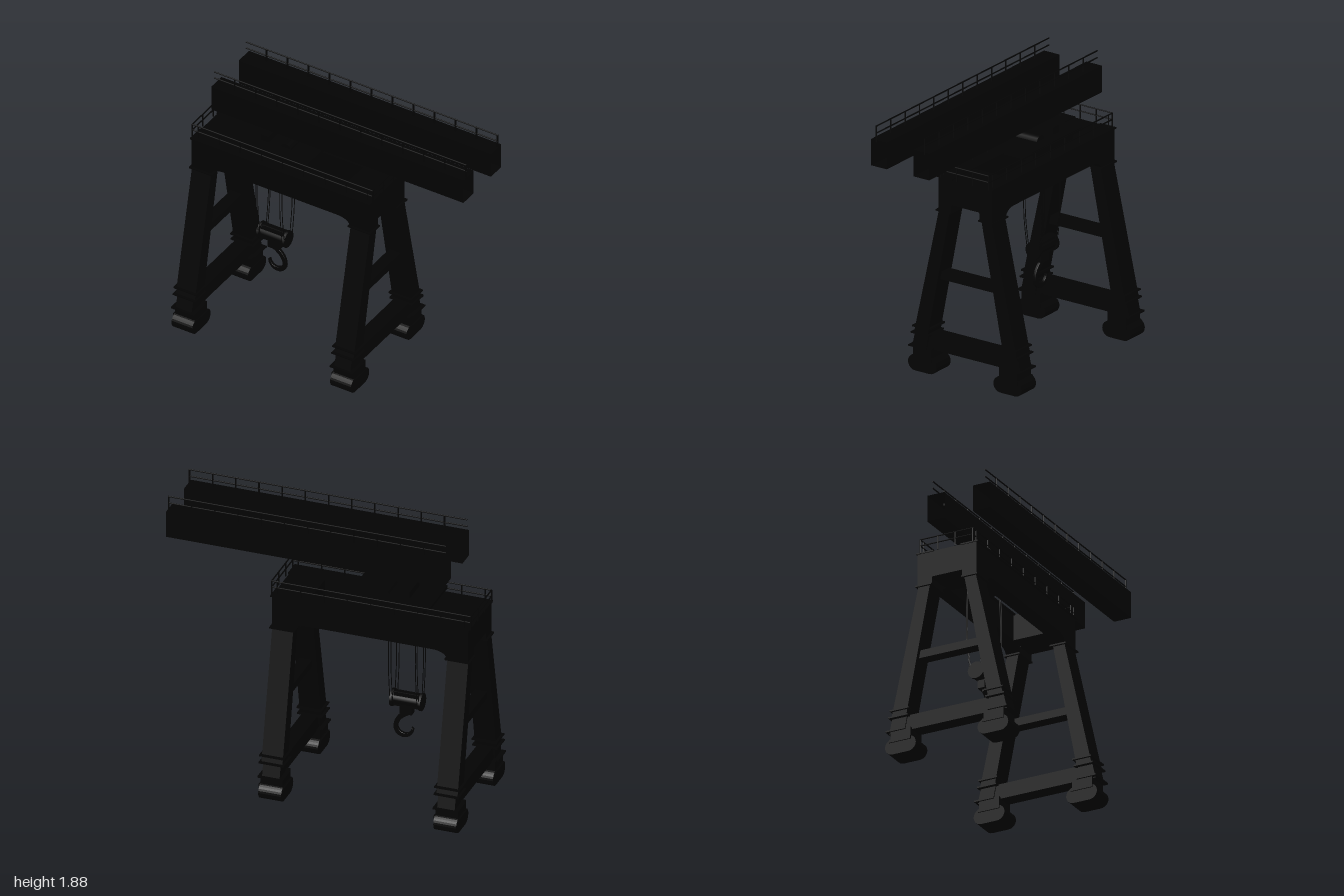
import * as THREE from 'three';

export function createModel() {
  const root = new THREE.Group();
  root.name = 'gantryCrane';
  const paint = new THREE.MeshStandardMaterial({ color: 0x030303, flatShading: true });
  const sheet = new THREE.MeshStandardMaterial({ color: 0x030303, flatShading: true, side: THREE.DoubleSide });
  const smooth = new THREE.MeshStandardMaterial({ color: 0x030303 });

  const add = (name, geo, mat = paint, parent = root) => {
    const m = new THREE.Mesh(geo, mat);
    m.name = name;
    parent.add(m);
    return m;
  };
  // Box given by its limits on each axis
  const box = (name, x0, x1, y0, y1, z0, z1, parent) => {
    const g = new THREE.BoxGeometry(x1 - x0, y1 - y0, Math.abs(z1 - z0));
    g.translate((x0 + x1) / 2, (y0 + y1) / 2, (z0 + z1) / 2);
    return add(name, g, paint, parent);
  };
  // Shape drawn in (z, y), extruded along x about a centre
  const extrudeX = (name, shape, xc, width, parent) => {
    const g = new THREE.ExtrudeGeometry(shape, { depth: width, bevelEnabled: false, curveSegments: 6 });
    g.translate(0, 0, -width / 2).rotateY(-Math.PI / 2).translate(xc, 0, 0);
    return add(name, g, paint, parent);
  };
  const poly = (pts) => new THREE.Shape(pts.map(([a, b]) => new THREE.Vector2(a, b)));
  // Round bar between two points
  const bar = (name, a, b, r, parent, sides = 6) => {
    const p = new THREE.Vector3(...a), q = new THREE.Vector3(...b);
    const m = add(name, new THREE.CylinderGeometry(r, r, p.distanceTo(q), sides), smooth, parent);
    m.position.copy(p).lerp(q, 0.5);
    m.quaternion.setFromUnitVectors(new THREE.Vector3(0, 1, 0), q.sub(p).normalize());
    return m;
  };

  // Leaning leg edges as a function of height
  const outer = (y) => 0.378 - (y - 0.3) * 0.2217;
  const inner = (y) => 0.285 - (y - 0.254) * 0.195;
  const legX = [-0.912, 0.238];

  for (const x of legX) {
    for (const s of [1, -1]) {
      const leg = new THREE.Group();
      leg.name = 'leg';
      root.add(leg);
      const section = (y0, y1) => {
        const pts = [[s * inner(y0), y0], [s * outer(y0), y0], [s * outer(y1), y1], [s * inner(y1), y1]];
        return poly(pts);
      };
      extrudeX('legColumn', section(0.25, 1.15), x, 0.138, leg);
      extrudeX('legAnkle', section(0.15, 0.25), x, 0.115, leg);
      for (const y of [0.16, 0.25, 0.295, 1.1]) {
        box('legFlange', x - 0.083, x + 0.083, y - 0.005, y + 0.005,
          s * (inner(y) - 0.015), s * (outer(y) + 0.015), leg);
      }
      // Small gusset rounding the leg into the cross beam
      const gusset = new THREE.Shape();
      gusset.moveTo(s * 0.15, 1.16);
      gusset.lineTo(s * 0.09, 1.16);
      gusset.quadraticCurveTo(s * 0.11, 1.15, s * inner(1.09), 1.09);
      gusset.lineTo(s * 0.15, 1.09);
      extrudeX('legGusset', gusset, x, 0.138, leg);
      // Rounded bogie foot
      const foot = new THREE.Shape();
      foot.moveTo(0.268, 0);
      foot.lineTo(0.378, 0);
      foot.absarc(0.378, 0.0525, 0.0525, -Math.PI / 2, Math.PI / 2, false);
      foot.lineTo(0.268, 0.105);
      foot.absarc(0.268, 0.0525, 0.0525, Math.PI / 2, Math.PI * 1.5, false);
      const f = extrudeX('bogieFoot', foot, x, 0.15, leg);
      if (s < 0) f.rotation.y = Math.PI, f.position.x = 2 * x;
      box('bogieBlock', x - 0.073, x + 0.073, 0.1, 0.165, s * 0.255, s * 0.395, leg);
      box('bogieRim', x - 0.083, x + 0.083, 0.08, 0.1, s * 0.25, s * 0.4, leg);
    }
    // Ties between the two legs of an end frame
    box('lowerTie', x - 0.05, x + 0.05, 0.155, 0.255, -0.31, 0.31);
    box('middleTie', x - 0.04, x + 0.04, 0.63, 0.682, -0.22, 0.22);
  }

  // Main girders with rounded corner brackets
  const girder = new THREE.Shape();
  girder.moveTo(-0.982, 1.32);
  girder.lineTo(-0.982, 1.1);
  girder.lineTo(-0.843, 1.1);
  girder.quadraticCurveTo(-0.825, 1.15, -0.745, 1.15);
  girder.lineTo(0.072, 1.15);
  girder.quadraticCurveTo(0.15, 1.15, 0.169, 1.1);
  girder.lineTo(0.307, 1.1);
  girder.lineTo(0.307, 1.32);
  for (const s of [1, -1]) {
    const g = new THREE.ExtrudeGeometry(girder, { depth: 0.1, bevelEnabled: false, curveSegments: 8 });
    g.translate(0, 0, s > 0 ? 0.105 : -0.205);
    add('mainGirder', g);
    box('girderWalkway', -0.988, 0.315, 1.318, 1.327, s * 0.095, s * 0.215);
  }
  box('endBeam', -0.982, -0.75, 1.15, 1.322, -0.11, 0.11);
  box('endBeam', 0.075, 0.307, 1.15, 1.322, -0.11, 0.11);

  // Walkway railing, running round all four sides
  const railing = new THREE.Group();
  railing.name = 'walkwayRailing';
  root.add(railing);
  for (const y of [1.37, 1.412]) {
    for (const s of [1, -1]) bar('rail', [-0.99, y, s * 0.183], [0.317, y, s * 0.183], 0.0045, railing);
    for (const x of [-0.99, 0.317]) bar('endRail', [x, y, -0.183], [x, y, 0.183], 0.0045, railing);
  }
  for (const s of [1, -1]) {
    for (let i = 0; i < 9; i++) {
      const x = -0.948 + i * 0.1535;
      bar('post', [x, 1.32, s * 0.183], [x, 1.412, s * 0.183], 0.0045, railing);
    }
    for (const x of [-0.99, 0.317]) {
      for (const z of [0.183, 0.06]) bar('endPost', [x, 1.32, s * z], [x, 1.412, s * z], 0.0045, railing);
    }
  }

  // Raised twin beams, open at both ends, each with a railing
  for (const s of [1, -1]) {
    const upper = new THREE.Group();
    upper.name = 'upperBeam';
    root.add(upper);
    const tube = new THREE.CylinderGeometry(Math.SQRT1_2, Math.SQRT1_2, 1, 4, 1, true);
    tube.rotateY(Math.PI / 4).rotateZ(Math.PI / 2).scale(1.828, 0.175, 0.118);
    tube.translate(0.084, 1.697, s * 0.16);
    add('beamShell', tube, sheet, upper);
    for (const y of [1.829, 1.875]) bar('rail', [-0.83, y, s * 0.183], [0.998, y, s * 0.183], 0.0045, upper);
    for (let i = 0; i < 12; i++) {
      const x = -0.681 + i * 0.1523;
      bar('post', [x, 1.77, s * 0.183], [x, 1.875, s * 0.183], 0.005, upper);
    }
  }

  // Trolley with winch drums
  const trolley = new THREE.Group();
  trolley.name = 'trolley';
  root.add(trolley);
  box('trolleyBody', -0.652, -0.232, 1.315, 1.39, -0.127, 0.127, trolley);
  box('trolleyDeck', -0.71, -0.175, 1.383, 1.405, -0.158, 0.158, trolley);
  box('motorHousing', -0.553, -0.495, 1.4, 1.452, -0.09, 0.09, trolley);
  bar('winchDrum', [-0.375, 1.395, -0.08], [-0.375, 1.395, 0.08], 0.041, trolley, 16);

  // Hoist cables, bowed slightly outward
  for (const s of [1, -1]) {
    for (const x of [-0.597, -0.585, -0.425, -0.408]) {
      const path = new THREE.CatmullRomCurve3([
        new THREE.Vector3(x, 1.35, s * 0.06), new THREE.Vector3(x, 1.0, s * 0.072),
        new THREE.Vector3(x, 0.85, s * 0.069), new THREE.Vector3(x, 0.65, s * 0.045)]);
      add('hoistCable', new THREE.TubeGeometry(path, 12, 0.0028, 5), smooth);
    }
  }

  // Hook block: sheave drum, end plates and swivel
  const block = new THREE.Group();
  block.name = 'hookBlock';
  root.add(block);
  bar('sheaveDrum', [-0.6, 0.648, 0], [-0.415, 0.648, 0], 0.042, block, 12);
  for (const x of [-0.601, -0.413]) bar('sheaveCheek', [x - 0.008, 0.646, 0], [x + 0.008, 0.646, 0], 0.057, block, 12);
  box('blockBody', -0.59, -0.425, 0.605, 0.688, -0.03, 0.03, block);
  box('swivel', -0.543, -0.463, 0.552, 0.61, -0.024, 0.024, block);

  // Tapering hook
  const hook = new THREE.Shape();
  hook.moveTo(-0.513, 0.56);
  hook.lineTo(-0.513, 0.54);
  hook.quadraticCurveTo(-0.45, 0.505, -0.443, 0.455);
  hook.absarc(-0.49, 0.455, 0.047, 0, -Math.PI, true);
  hook.lineTo(-0.547, 0.447);
  hook.absarc(-0.483, 0.447, 0.064, Math.PI, Math.PI * 2, false);
  hook.quadraticCurveTo(-0.42, 0.51, -0.475, 0.55);
  hook.lineTo(-0.475, 0.56);
  const hookGeo = new THREE.ExtrudeGeometry(hook, {
    depth: 0.012, bevelSize: 0.002, bevelThickness: 0.004, bevelSegments: 2, curveSegments: 14 });
  hookGeo.translate(0, 0, -0.006);
  add('hook', hookGeo, paint, block);

  return root;
}
